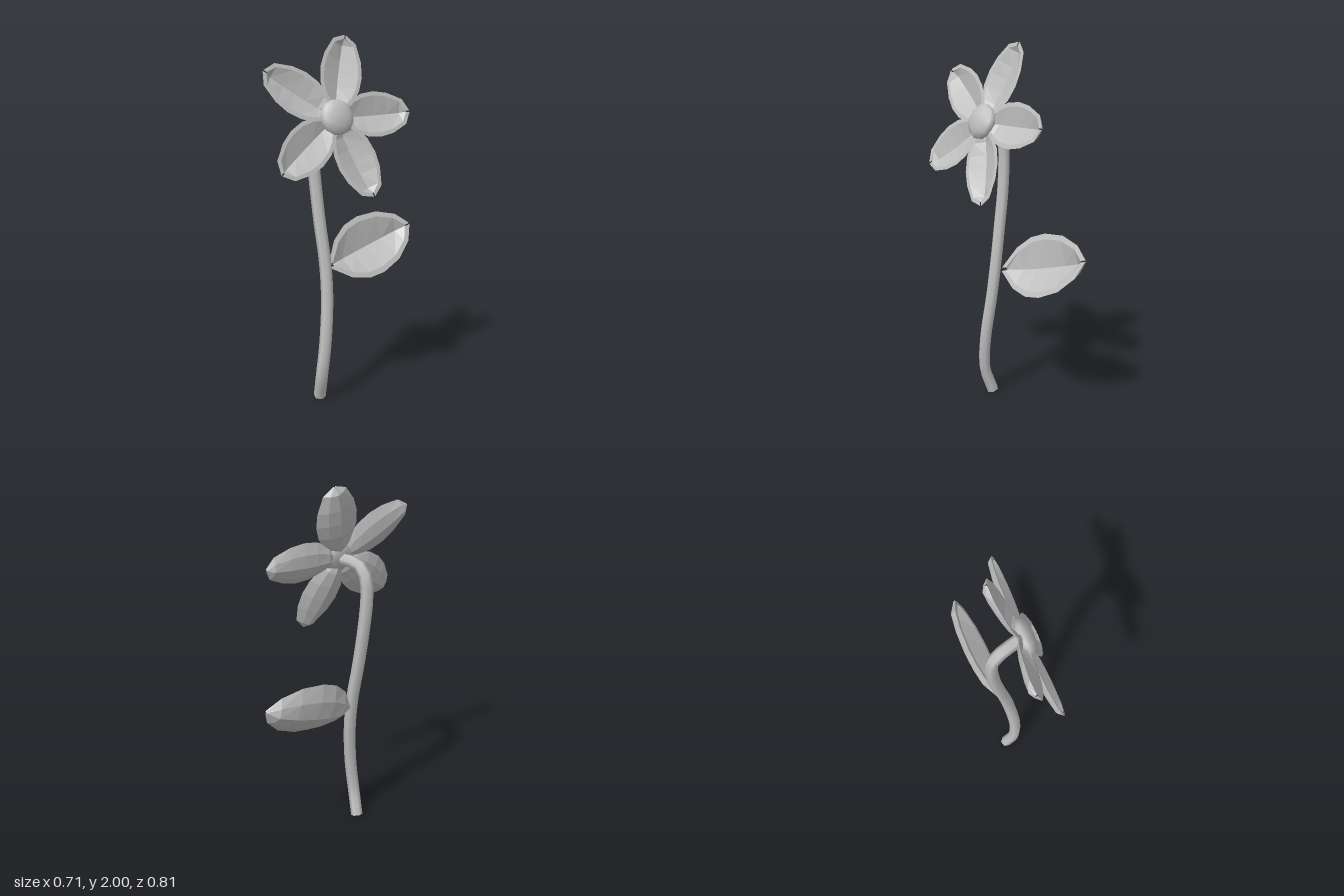
import * as THREE from 'three';

const V = (x, y, z) => new THREE.Vector3(x, y, z);

// Folded blade along +x facing +z: flat rim, creased valley in front, ridged back.
// stations: [distance along, half width]
function bladeGeometry(stations, front, back) {
  const widest = Math.max(...stations.map((s) => s[1]));
  const middle = (stations[0][0] + stations.at(-1)[0]) / 2;
  const loops = stations.map(([t, w]) => {
    const k = Math.sqrt(w / widest);
    const ti = t + (middle - t) * 0.1;
    const wi = w * 0.82;
    return [
      V(t, w, 0), V(ti, wi, 0), V(ti, 0, -front * k), V(ti, -wi, 0), V(t, -w, 0),
      V(t, -w * 0.55, -back * 0.65 * k), V(t, 0, -back * k), V(t, w * 0.55, -back * 0.65 * k),
    ];
  });
  const points = [];
  for (let i = 0; i < loops.length - 1; i++) {
    for (let j = 0; j < 8; j++) {
      const a = loops[i][j], b = loops[i][(j + 1) % 8];
      const c = loops[i + 1][j], d = loops[i + 1][(j + 1) % 8];
      points.push(a, b, c, b, d, c);
    }
  }
  const geometry = new THREE.BufferGeometry().setFromPoints(points);
  geometry.computeVertexNormals();
  return geometry;
}

export function createModel() {
  const group = new THREE.Group();
  const grey = new THREE.MeshStandardMaterial({ color: 0xc0c0c0 });
  grey.name = 'grey';
  const add = (name, geometry, parent = group) => {
    const mesh = new THREE.Mesh(geometry, grey);
    mesh.name = name;
    parent.add(mesh);
    return mesh;
  };
  // Turn a part so its x runs along `axis` and its z along `normal`
  const orient = (object, axis, normal) => {
    const z = normal.clone().normalize();
    const x = axis.clone().addScaledVector(z, -axis.dot(z)).normalize();
    object.quaternion.setFromRotationMatrix(
      new THREE.Matrix4().makeBasis(x, z.clone().cross(x), z));
  };

  // Stem, bending forward into the back of the flower
  const path = new THREE.CatmullRomCurve3([
    V(-0.105, 0.018, 0.055), V(-0.085, 0.16, 0.1), V(-0.065, 0.35, 0.097),
    V(-0.06, 0.6, 0.062), V(-0.075, 0.8, 0.037), V(-0.105, 1.0, 0.015),
    V(-0.13, 1.2, -0.005), V(-0.147, 1.4, -0.012), V(-0.14, 1.51, -0.005),
    V(-0.1, 1.57, 0.03), V(-0.02, 1.58, 0.09),
  ]);
  add('stem', new THREE.TubeGeometry(path, 30, 0.034, 6));
  const cap = add('stemEnd', new THREE.CircleGeometry(0.034, 6));
  cap.position.copy(path.getPointAt(0));
  cap.lookAt(cap.position.clone().sub(path.getTangentAt(0)));

  // Flower: five petals around a flattened faceted centre
  const flower = new THREE.Group();
  flower.name = 'flower';
  flower.position.set(0, 1.59, 0.11);
  orient(flower, V(0.02, 0.41, -0.19), V(0.574, 0.32, 0.755));
  group.add(flower);

  const petal = bladeGeometry([
    [0.03, 0.02], [0.09, 0.082], [0.17, 0.115], [0.25, 0.123],
    [0.33, 0.109], [0.42, 0.068], [0.455, 0.004],
  ], 0.035, 0.05);
  for (let i = 0; i < 5; i++) {
    add('petal', petal, flower).rotation.z = (i * Math.PI * 2) / 5;
  }
  const centre = add('flowerCentre', new THREE.IcosahedronGeometry(0.097, 1), flower);
  centre.scale.z = 0.45;
  centre.position.z = 0.005;

  // Single leaf beside the stem
  const leaf = add('leaf', bladeGeometry([
    [0, 0.01], [0.1, 0.115], [0.2, 0.165], [0.3, 0.176],
    [0.43, 0.152], [0.54, 0.088], [0.6, 0.004],
  ], 0.06, 0.085));
  leaf.position.set(-0.055, 0.76, 0.005);
  orient(leaf, V(0.41, 0.16, -0.4), V(0.555, 0.405, 0.734));

  return group;
}
